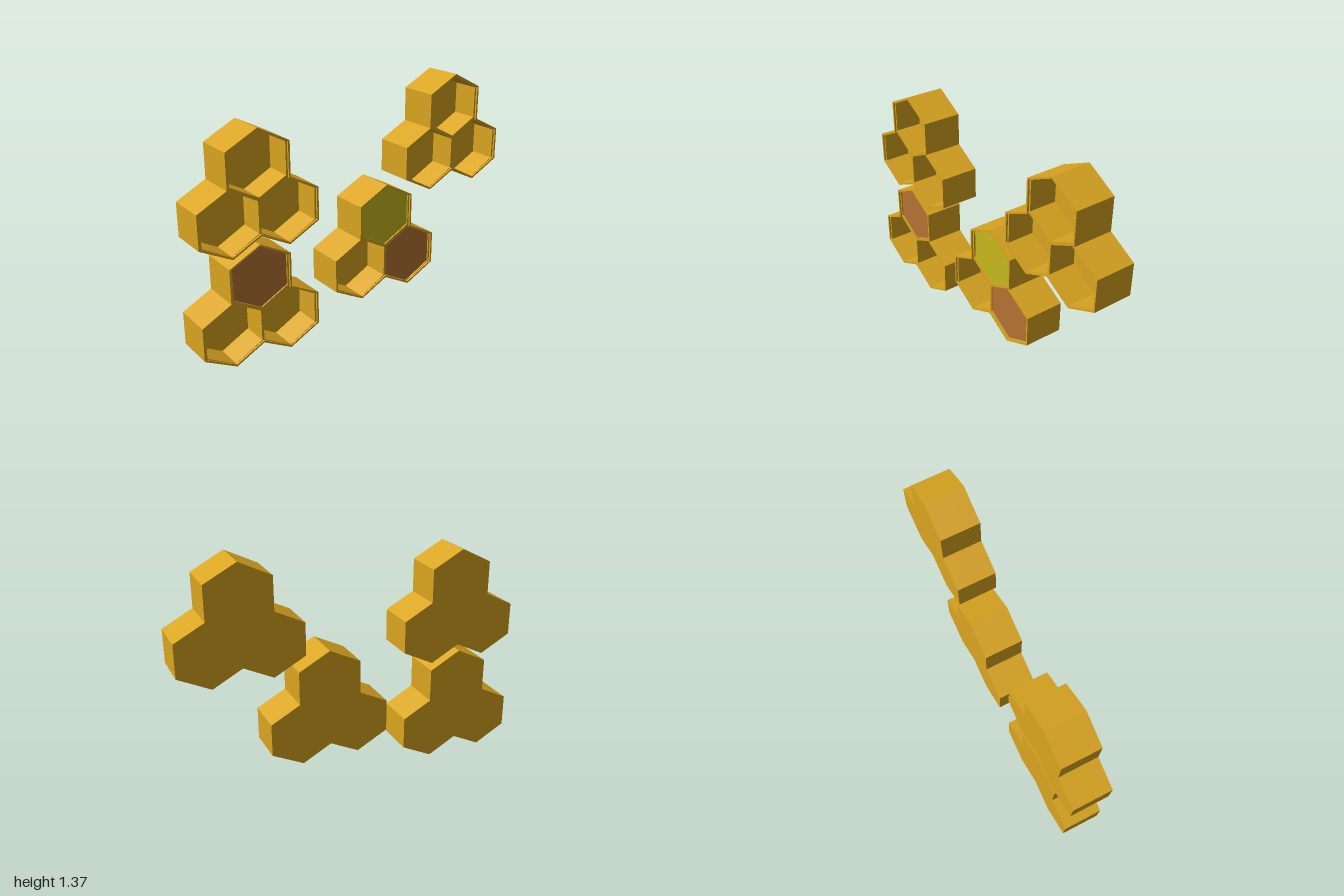
import * as THREE from 'three';

const PITCH = 0.1675, LOW = 0.1875, HIGH = 0.4675; // cell centres within a cluster
const BACK = -0.113, FLOOR = -0.053, STEP = 0.103, FRONT = 0.113;

const CELLS = { left: [-PITCH, LOW], right: [PITCH, LOW], top: [0, HIGH] };

const material = (color) => new THREE.MeshStandardMaterial({ color, flatShading: true });

// Outline of three merged pointy-top hexagons, drawn inwards by d
function outline(d) {
  const w = 0.181 - d, peak = 0.1875 - 1.13 * d, corner = 0.094 - 0.55 * d;
  const slope = (peak - corner) / w;
  const half = [
    [PITCH, LOW - peak],
    [PITCH + w, LOW - corner],
    [PITCH + w, LOW + corner],
    [w, LOW + peak - slope * (w - PITCH)],
    [w, HIGH + corner],
  ];
  const mirrored = half.map(([x, y]) => [-x, y]).reverse();
  const points = [[0, LOW - peak + slope * PITCH], ...half, [0, HIGH + peak], ...mirrored];
  return points.map(([x, y]) => new THREE.Vector2(x, y));
}

// Inner hexagon of one cell
function hexagon([cx, cy]) {
  const w = 0.161, peak = 0.175, corner = 0.0885;
  return [[0, -peak], [w, -corner], [w, corner], [0, peak], [-w, corner], [-w, -corner]]
    .map(([x, y]) => new THREE.Vector2(cx + x, cy + y));
}

function slab(name, points, holes, z0, z1, mat) {
  const shape = new THREE.Shape(points);
  holes.forEach((h) => shape.holes.push(new THREE.Path(h)));
  const geometry = new THREE.ExtrudeGeometry(shape, { depth: z1 - z0, bevelEnabled: false });
  geometry.translate(0, 0, z0);
  const mesh = new THREE.Mesh(geometry, mat);
  mesh.name = name;
  return mesh;
}

export function createModel() {
  const wood = material(0xdaa520);
  const fills = { brown: material(0xb87333), yellow: material(0xc8b91c) };

  // Each cluster: position of its bottom centre and the cells that are filled
  const clusters = [
    { name: 'lowerLeftCluster', x: -0.651, y: 0, filled: { top: 'brown' } },
    { name: 'upperLeftCluster', x: -0.64, y: 0.611, filled: {} },
    { name: 'middleCluster', x: 0.165, y: 0.15, filled: { top: 'yellow', right: 'brown' } },
    { name: 'upperRightCluster', x: 0.651, y: 0.711, filled: {} },
  ];

  const model = new THREE.Group();
  model.name = 'honeycombShelves';
  for (const { name, x, y, filled } of clusters) {
    const group = new THREE.Group();
    group.name = name;
    group.position.set(x, y, 0);
    group.add(
      slab('backPanel', outline(0), [], BACK, FLOOR, wood),
      slab('outerRim', outline(0), [outline(0.01)], FLOOR, FRONT, wood),
      slab('cellWalls', outline(0.01), Object.values(CELLS).map(hexagon), FLOOR, STEP, wood),
    );
    // Coloured plugs sit just behind the cell edges
    for (const [cell, color] of Object.entries(filled)) {
      group.add(slab(`${cell}Fill`, hexagon(CELLS[cell]), [], FLOOR, STEP - 0.008, fills[color]));
    }
    model.add(group);
  }
  return model;
}
